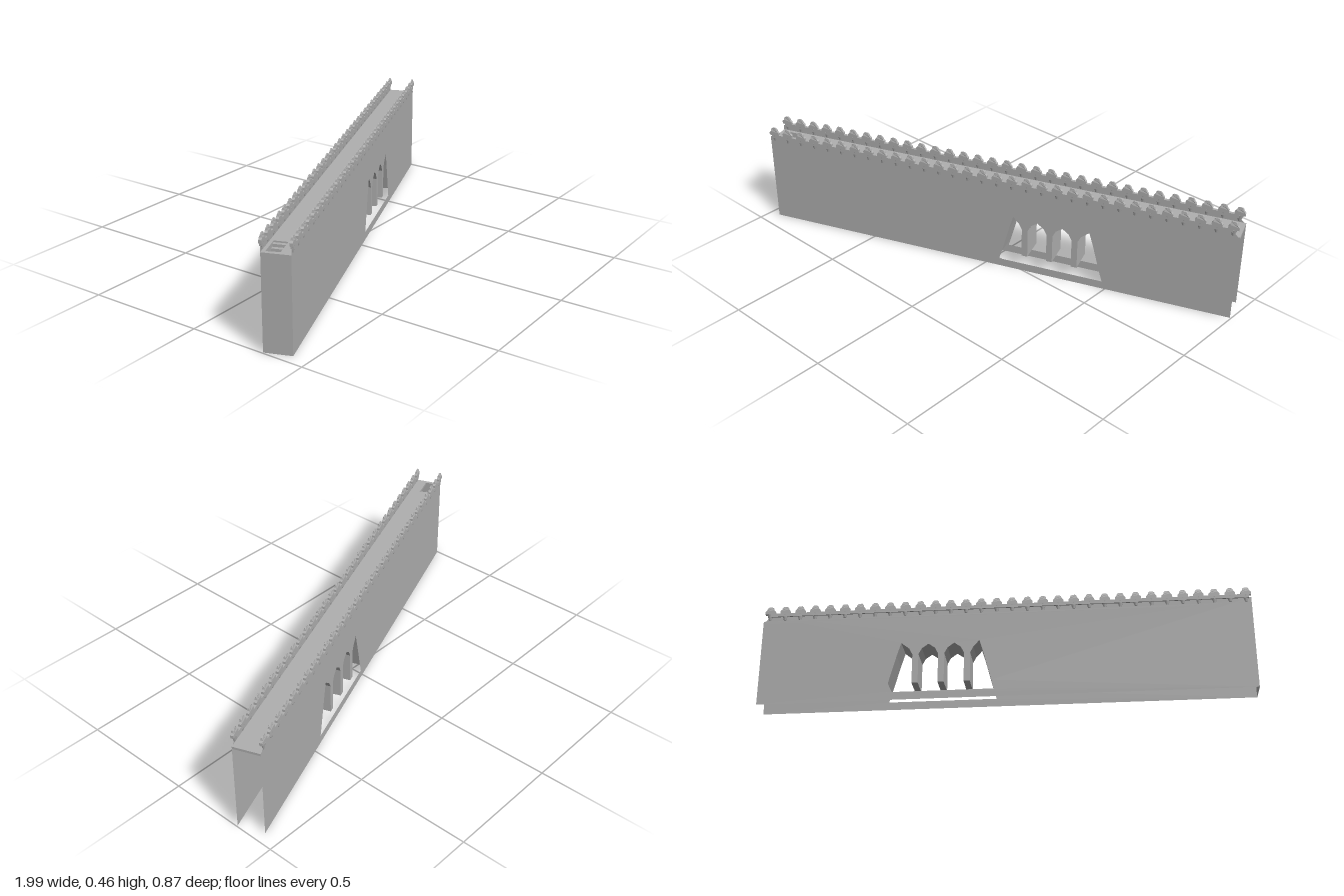
import * as THREE from 'three';

export function createModel() {
  const stone = new THREE.MeshStandardMaterial({ color: 0xb0b0b0, side: THREE.DoubleSide });
  stone.name = 'stone';

  const L = 1.045;      // half length
  const W = 0.056;      // half width
  const DECK = 0.388;   // walkway height
  const wall = new THREE.Group();
  wall.name = 'curtainWall';

  const add = (geometry, name, x = 0, y = 0, z = 0, parent = wall) => {
    const mesh = new THREE.Mesh(geometry, stone);
    mesh.name = name;
    mesh.position.set(x, y, z);
    parent.add(mesh);
    return mesh;
  };

  // Window outline: four pointed arches with three piers hanging between them
  const piers = [0.155, 0.265, 0.375];
  const half = 0.013, foot = 0.075, spring = 0.205;
  const outline = [[0.04, 0.035], [0.052, foot], [0.085, 0.2], [0.103, 0.26]];
  piers.forEach((p, i) => {
    outline.push([p - half - 0.014, 0.232], [p - half, spring], [p - half, foot]);
    outline.push([p + half, foot], [p + half, spring], [p + half + 0.014, 0.232]);
    outline.push(i < 2 ? [p + 0.055, 0.252] : [0.437, 0.26]);
  });
  outline.push([0.455, 0.2], [0.488, foot], [0.5, 0.035]);

  // Two thin long walls pierced by the window
  const face = new THREE.Shape([
    [-L, 0], [L, 0], [L, 0.38], [L - 0.03, 0.41], [-L, 0.41],
  ].map(([x, y]) => new THREE.Vector2(x, y)));
  face.holes.push(new THREE.Path(outline.map(([x, y]) => new THREE.Vector2(x, y))));
  for (const side of [1, -1]) {
    const g = new THREE.ShapeGeometry(face);
    if (side < 0) {
      // Turn the back sheet outward without mirroring the window position
      const n = g.attributes.normal;
      for (let i = 0; i < n.count; i++) n.setZ(i, -1);
      const idx = Array.from(g.index.array);
      for (let i = 0; i < idx.length; i += 3) [idx[i], idx[i + 1]] = [idx[i + 1], idx[i]];
      g.setIndex(idx);
    }
    add(g, side > 0 ? 'frontWall' : 'backWall', 0, 0, side * W);
  }

  // Pier sides and arch vaults running from the front wall to the back wall
  const reveal = [];
  for (let i = 1; i < outline.length - 2; i++) {
    const [ax, ay] = outline[i], [bx, by] = outline[i + 1];
    reveal.push(ax, ay, W, ax, ay, -W, bx, by, -W, ax, ay, W, bx, by, -W, bx, by, W);
  }
  const vault = new THREE.BufferGeometry();
  vault.setAttribute('position', new THREE.Float32BufferAttribute(reveal, 3));
  vault.computeVertexNormals();
  add(vault, 'windowReveals');

  // Closed end; the other end and the underside stay open
  const end = new THREE.PlaneGeometry(2 * W, DECK);
  end.rotateY(-Math.PI / 2);
  add(end, 'endWall', -L, DECK / 2, 0);

  // Walkway with a stair hatch
  const rect = (Type, x0, x1, z0, z1) => new Type([
    new THREE.Vector2(x0, z0), new THREE.Vector2(x1, z0),
    new THREE.Vector2(x1, z1), new THREE.Vector2(x0, z1),
  ]);
  const deckShape = rect(THREE.Shape, -L, L, -W, W);
  deckShape.holes.push(rect(THREE.Path, -1.03, -0.935, -0.042, 0.012));
  const deck = new THREE.ExtrudeGeometry(deckShape, { depth: 0.01, bevelEnabled: false });
  deck.rotateX(Math.PI / 2);
  add(deck, 'walkway', 0, DECK, 0);
  for (let i = 0; i < 6; i++) {
    add(new THREE.BoxGeometry(0.016, 0.012, 0.054), 'stairTread',
      -0.943 - i * 0.0158, DECK - 0.012 - i * 0.011, -0.015);
  }

  // Parapets with corbels and capped merlons along both edges
  const T = 0.012, COUNT = 32, step = (2 * L - 0.05) / (COUNT - 1);
  const merlonShape = new THREE.Shape([
    [-0.022, 0], [0.022, 0], [0.022, 0.013], [0.015, 0.02], [0.013, 0.03],
    [0.007, 0.035], [-0.007, 0.035], [-0.013, 0.03], [-0.015, 0.02], [-0.022, 0.013],
  ].map(([x, y]) => new THREE.Vector2(x, y)));
  const merlon = new THREE.ExtrudeGeometry(merlonShape, { depth: T, bevelEnabled: false });
  merlon.translate(0, 0, -T / 2);
  // Pinch the merlon top to a ridge
  const p = merlon.attributes.position;
  for (let i = 0; i < p.count; i++) {
    if (p.getY(i) > 0.025) p.setZ(i, p.getZ(i) * 0.45);
  }
  merlon.computeVertexNormals();
  const corbel = new THREE.CylinderGeometry(0.011, 0.004, 0.028, 8);
  corbel.scale(1.3, 1, 0.6);

  for (const side of [1, -1]) {
    const parapet = new THREE.Group();
    parapet.name = side > 0 ? 'frontParapet' : 'backParapet';
    wall.add(parapet);
    add(new THREE.BoxGeometry(2 * L - 0.04, 0.016, T), 'parapetBand', -0.01, 0.415, side * W, parapet);
    for (let i = 0; i < COUNT; i++) {
      const x = -L + 0.022 + i * step;
      add(merlon, 'merlon', x, 0.42, side * W, parapet);
      add(corbel, 'corbel', x, 0.405, side * W, parapet);
    }
  }

  // The wall stands diagonally
  wall.rotation.y = 0.368;
  const model = new THREE.Group();
  model.name = 'crenellatedWall';
  model.add(wall);
  return model;
}
